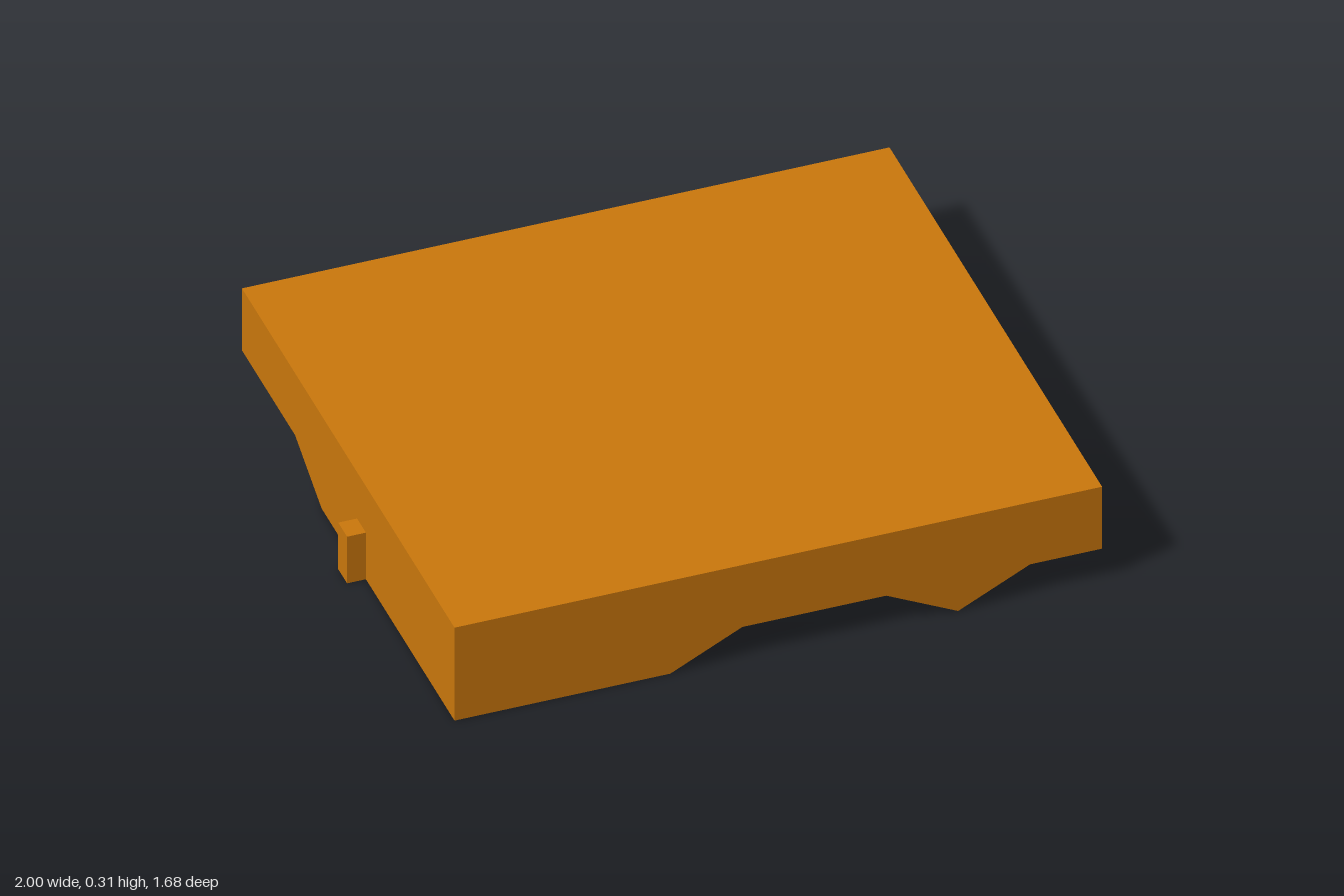
import * as THREE from 'three';

const CELL = 0.21, NX = 9, NZ = 8;   // grid of the underside
const TOP = 0.315, DENT = 0.105;     // slab height, hollow depth

// Hollows in the underside as grid ranges: [iMin, iMax, jMin, jMax]
const hollows = [
  [0, 2, 0, 2],   // back corner
  [6, 7, 2, 4],   // centre
  [4, 6, 7, 8],   // front edge
  [4, 4, 6, 6],   // inner tip of the front-edge hollow
  [8, 9, 7, 8],   // front corner
];
const height = (i, j) =>
  hollows.some(([a, b, c, d]) => i >= a && i <= b && j >= c && j <= d) ? DENT : 0;
const low = (i, j) => [(i - NX / 2) * CELL, height(i, j), (j - NZ / 2) * CELL];
const high = (i, j) => [(i - NX / 2) * CELL, TOP, (j - NZ / 2) * CELL];

function slabGeometry() {
  const pos = [];
  const quad = (a, b, c, d) => pos.push(...a, ...b, ...c, ...a, ...c, ...d);

  // Underside: each cell folds along its lower diagonal
  for (let i = 0; i < NX; i++) {
    for (let j = 0; j < NZ; j++) {
      const a = low(i, j), b = low(i + 1, j), c = low(i + 1, j + 1), d = low(i, j + 1);
      if (a[1] + c[1] < b[1] + d[1]) quad(a, b, c, d);
      else quad(b, c, d, a);
    }
  }

  // Walls: strips from the uneven lower edge up to the top
  const wall = (i0, j0, i1, j1) => quad(low(i0, j0), low(i1, j1), high(i1, j1), high(i0, j0));
  for (let i = 0; i < NX; i++) {
    wall(i, NZ, i + 1, NZ);
    wall(i + 1, 0, i, 0);
  }
  for (let j = 0; j < NZ; j++) {
    wall(NX, j + 1, NX, j);
    wall(0, j, 0, j + 1);
  }

  // Flat top
  quad(high(0, NZ), high(NX, NZ), high(NX, 0), high(0, 0));

  const geometry = new THREE.BufferGeometry();
  geometry.setAttribute('position', new THREE.Float32BufferAttribute(pos, 3));
  geometry.computeVertexNormals();
  return geometry;
}

export function createModel() {
  const model = new THREE.Group();
  model.name = 'dentedSlab';
  const orange = new THREE.MeshStandardMaterial({ color: 0xcc780c });
  orange.name = 'orange';

  const slab = new THREE.Mesh(slabGeometry(), orange);
  slab.name = 'slab';
  model.add(slab);

  // Small upright tabs on both sides
  for (const side of [1, -1]) {
    const tab = new THREE.Mesh(new THREE.BoxGeometry(0.055, 0.158, 0.07), orange);
    tab.name = side > 0 ? 'leftTab' : 'rightTab';
    tab.position.set(side * 0.9725, 0.079, 0.105);
    model.add(tab);
  }
  return model;
}
